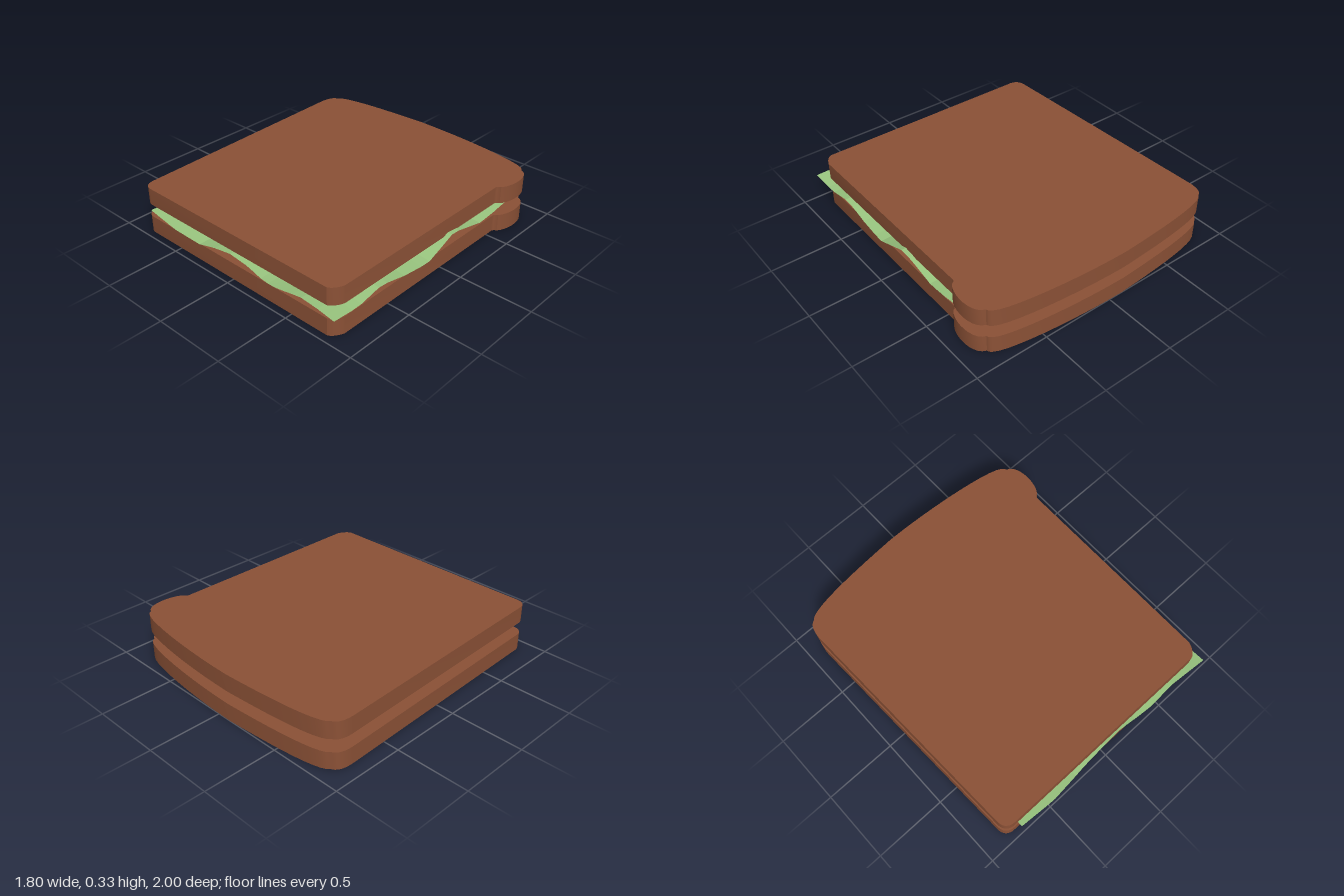
import * as THREE from 'three';
import { toCreasedNormals } from 'three/addons/utils/BufferGeometryUtils.js';

const SLICE = 0.12;

// Piecewise linear profile through [position, value] points
function profile(points, t) {
  for (let i = 1; i < points.length; i++) {
    const [a, va] = points[i - 1], [b, vb] = points[i];
    if (t <= b) return THREE.MathUtils.lerp(va, vb, Math.max(0, (t - a) / (b - a)));
  }
  return points[points.length - 1][1];
}

// Toast outline: domed back, one bulging shoulder on the left, rounded front corners
function breadGeometry() {
  const s = new THREE.Shape();
  s.moveTo(-0.1, 1);
  s.bezierCurveTo(0.3, 1, 0.74, 0.95, 0.81, 0.9);
  s.quadraticCurveTo(0.83, 0.89, 0.835, 0.87);
  s.bezierCurveTo(0.92, 0.85, 0.92, 0.66, 0.865, 0.59);
  s.quadraticCurveTo(0.84, 0.58, 0.84, 0.56);
  s.lineTo(0.84, -0.87);
  s.quadraticCurveTo(0.82, -0.93, 0.78, -0.95);
  s.lineTo(-0.78, -0.95);
  s.quadraticCurveTo(-0.84, -0.94, -0.845, -0.88);
  s.lineTo(-0.9, 0.77);
  s.quadraticCurveTo(-0.9, 0.87, -0.85, 0.89);
  s.bezierCurveTo(-0.82, 0.95, -0.5, 0.98, -0.1, 1);
  const g = new THREE.ExtrudeGeometry(s, { depth: SLICE, bevelEnabled: false, curveSegments: 10 });
  g.rotateX(-Math.PI / 2);
  return toCreasedNormals(g, 0.5);
}

// Thin leaf whose front and left edges ripple up and down
function lettuceGeometry() {
  const x0 = -0.74, x1 = 0.88, z0 = -0.82, z1 = 1;
  const frontHeight = [[-0.74, 0.2], [-0.5, 0.175], [-0.26, 0.148], [-0.15, 0.175], [0, 0.195],
    [0.3, 0.148], [0.45, 0.165], [0.6, 0.19], [0.75, 0.19], [0.88, 0.18]];
  const sideHeight = [[-0.82, 0.2], [-0.6, 0.195], [-0.37, 0.17], [-0.2, 0.205], [-0.08, 0.235],
    [0.05, 0.19], [0.18, 0.148], [0.4, 0.165], [0.6, 0.207], [0.8, 0.172], [1, 0.19]];
  const frontEdge = [[-0.74, 0.985], [-0.48, 1], [-0.2, 0.975], [0.15, 0.96], [0.4, 0.985],
    [0.6, 0.978], [0.88, 1]];
  const sideEdge = [[-0.82, 0.865], [-0.5, 0.875], [-0.2, 0.868], [0.18, 0.882], [0.5, 0.87], [1, 0.88]];
  const g = new THREE.PlaneGeometry(x1 - x0, z1 - z0, 24, 24);
  g.rotateX(-Math.PI / 2);
  g.translate((x0 + x1) / 2, 0, (z0 + z1) / 2);
  const p = g.attributes.position;
  for (let i = 0; i < p.count; i++) {
    const x = p.getX(i), z = p.getZ(i);
    const u = (x - x0) / (x1 - x0), v = (z - z0) / (z1 - z0);
    const y = 0.19 + (profile(frontHeight, x) - 0.19) * v + (profile(sideHeight, z) - 0.19) * u;
    p.setXYZ(i, x + (profile(sideEdge, z) - x1) * u, y, z + (profile(frontEdge, x) - z1) * v);
  }
  g.computeVertexNormals();
  return g;
}

export function createModel() {
  const group = new THREE.Group();
  const crust = new THREE.MeshStandardMaterial({ color: 0x8b5136 });
  const leaf = new THREE.MeshStandardMaterial({ color: 0x98c47e, side: THREE.DoubleSide, flatShading: true });

  // Two identical slices with a gap for the filling
  const bread = breadGeometry();
  for (const [name, y] of [['bottomBread', 0], ['topBread', 0.21]]) {
    const slice = new THREE.Mesh(bread, crust);
    slice.name = name;
    slice.position.y = y;
    group.add(slice);
  }

  const lettuce = new THREE.Mesh(lettuceGeometry(), leaf);
  lettuce.name = 'lettuce';
  group.add(lettuce);
  return group;
}
